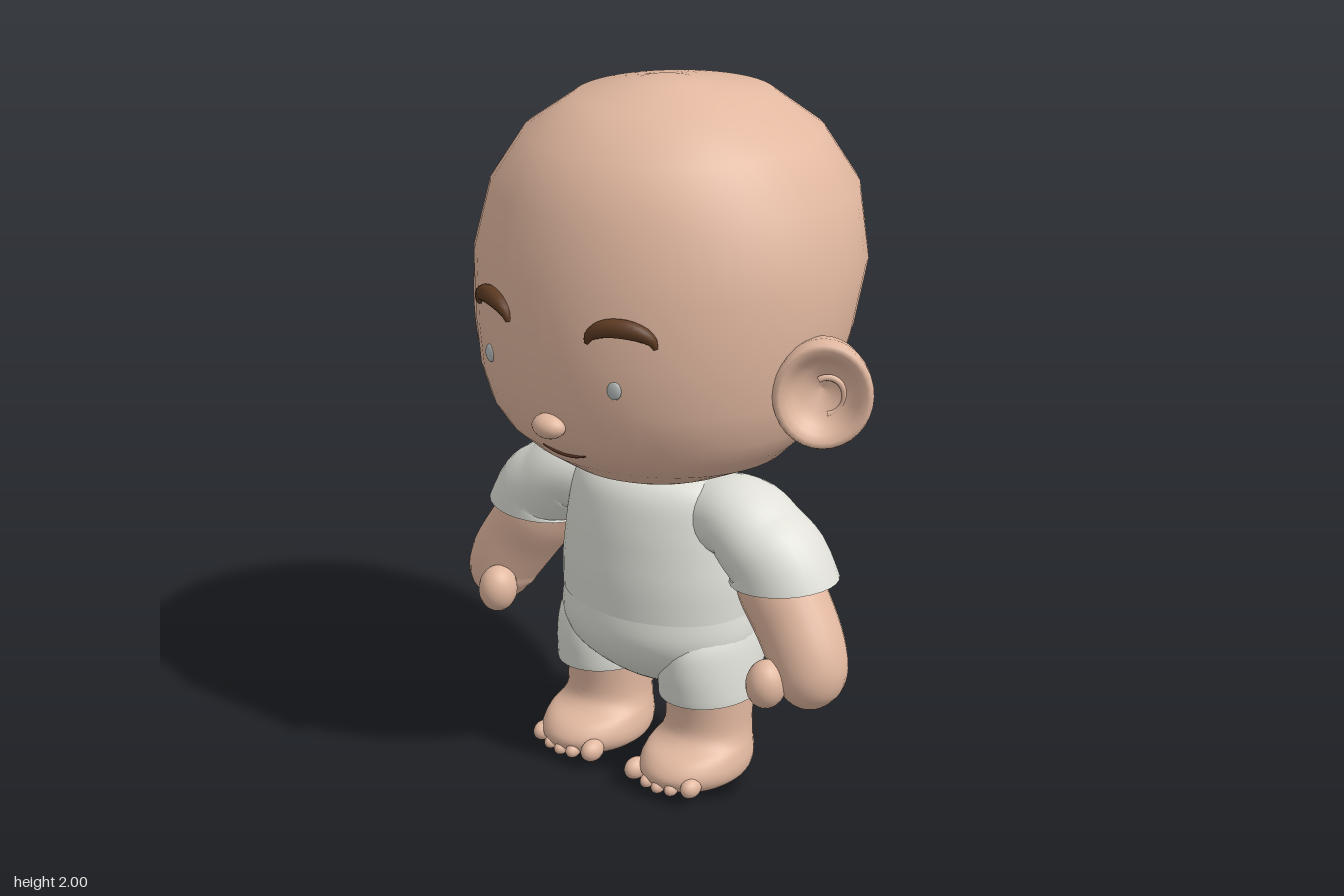
import * as THREE from 'three';

const material = (name, color) => {
  const m = new THREE.MeshStandardMaterial({ color });
  m.name = name;
  return m;
};

// Catmull-Rom refinement of rows of numbers
function refine(rows, n) {
  const out = [];
  for (let i = 0; i < rows.length - 1; i++) {
    const p = rows[Math.max(i - 1, 0)], a = rows[i], b = rows[i + 1];
    const q = rows[Math.min(i + 2, rows.length - 1)];
    for (let k = 0; k < n; k++) {
      const t = k / n;
      out.push(a.map((v, c) => v + 0.5 * t * (b[c] - p[c] +
        t * (2 * p[c] - 5 * v + 4 * b[c] - q[c] + t * (3 * (v - b[c]) + q[c] - p[c])))));
    }
  }
  out.push(rows[rows.length - 1]);
  return out;
}

// Closed skin over rings that run counter-clockwise about the direction of travel
function skinRings(rings) {
  const n = rings[0].length, pos = rings.flat(2), index = [];
  for (let i = 0; i < rings.length - 1; i++) {
    for (let j = 0; j < n; j++) {
      const a = i * n + j, b = i * n + (j + 1) % n;
      index.push(a, b, a + n, b, b + n, a + n);
    }
  }
  [rings[0], rings[rings.length - 1]].forEach((ring, end) => {
    const base = pos.length / 3;
    pos.push(...ring.flat());
    pos.push(...[0, 1, 2].map(c => ring.reduce((s, p) => s + p[c], 0) / n));
    for (let j = 0; j < n; j++) {
      const a = base + j, b = base + (j + 1) % n;
      index.push(base + n, end ? a : b, end ? b : a);
    }
  });
  const g = new THREE.BufferGeometry();
  g.setAttribute('position', new THREE.Float32BufferAttribute(pos, 3));
  g.setIndex(index);
  g.computeVertexNormals();
  return g;
}

// Upright body: rows of [y, half width, front z, back z], rising
function loft(rows, cx = 0, n = 4, sides = 40) {
  return skinRings(refine(rows, n).map(([y, rx, zf, zb]) =>
    Array.from({ length: sides }, (_, j) => {
      const a = j / sides * Math.PI * 2;
      return [cx + rx * Math.cos(a), y, (zf + zb) / 2 - (zf - zb) / 2 * Math.sin(a)];
    })));
}

// Limb: rows of [x, y, z, radius, optional radius in depth]
function sweep(rows, n = 4, sides = 24, endDirection) {
  const path = refine(rows, n), at = i => new THREE.Vector3(...path[i].slice(0, 3));
  return skinRings(path.map(([, , , r, depth = r], i) => {
    const T = at(Math.min(i + 1, path.length - 1)).sub(at(Math.max(i - 1, 0))).normalize();
    if (endDirection && i > path.length - 1 - n) {
      T.lerp(endDirection, (i - path.length + 1 + n) / n).normalize();
    }
    const N = new THREE.Vector3(0, 0, 1).addScaledVector(T, -T.z).normalize();
    const B = T.clone().cross(N);
    return Array.from({ length: sides }, (_, j) => {
      const a = j / sides * Math.PI * 2;
      return at(i).addScaledVector(N, depth * Math.cos(a)).addScaledVector(B, r * Math.sin(a)).toArray();
    });
  }));
}

const headRows = [
  [0.913, 0.01, 0.045, 0.025], [0.915, 0.13, 0.11, -0.04], [0.933, 0.215, 0.25, -0.14],
  [0.952, 0.265, 0.295, -0.22], [1.01, 0.385, 0.378, -0.295], [1.06, 0.437, 0.432, -0.328],
  [1.12, 0.478, 0.47, -0.375], [1.22, 0.512, 0.5, -0.43], [1.35, 0.532, 0.51, -0.49],
  [1.53, 0.553, 0.503, -0.535], [1.72, 0.508, 0.458, -0.528], [1.86, 0.407, 0.382, -0.447],
  [1.957, 0.267, 0.247, -0.317], [1.999, 0.08, 0.08, -0.08], [2, 0.005, 0.005, -0.005]
];

// Front surface of the head at x, y
function faceZ(x, y) {
  const i = headRows.findIndex(r => r[0] > y), a = headRows[i - 1], b = headRows[i];
  const [, rx, zf, zb] = a.map((v, c) => v + (b[c] - v) * (y - a[0]) / (b[0] - a[0]));
  return (zf + zb) / 2 + (zf - zb) / 2 * Math.sqrt(1 - (x / rx) ** 2);
}

export function createModel() {
  const skin = material('skin', 0xe2b8a0);
  const cloth = material('cloth', 0xe0e0d9);
  const brow = material('brow brown', 0x5c3a22);
  const eye = material('eye grey', 0xb8bebd);
  const lip = material('mouth brown', 0x5a3424);

  const model = new THREE.Group();
  model.name = 'child';
  const add = (name, geometry, mat, parent = model) => {
    const m = new THREE.Mesh(geometry, mat);
    m.name = name;
    parent.add(m);
    return m;
  };
  const blob = (name, mat, [x, y, z], [rx, ry, rz]) => {
    const m = add(name, new THREE.SphereGeometry(1, 20, 14), mat);
    m.position.set(x, y, z);
    m.scale.set(rx, ry, rz);
    return m;
  };

  // Head and face
  add('head', loft(headRows, 0, 1, 48), skin);
  blob('nose', skin, [0, 1.157, 0.493], [0.05, 0.034, 0.04]);
  add('mouth', sweep([-0.075, -0.037, 0, 0.037, 0.075].map((x, i) => {
    const y = 1.057 + 2.2 * x * x;
    return [x, y, faceZ(x, y), [0.002, 0.005, 0.006, 0.005, 0.002][i]];
  }), 3, 8), lip);
  for (const x of [-0.247, 0.205]) {
    blob('eye', eye, [x, 1.295, faceZ(x, 1.295)], [0.021, 0.025, 0.008]).rotation.y = x;
  }

  // Neck, shirt and shorts
  add('neck', loft([[0.86, 0.17, 0.14, -0.07], [0.938, 0.175, 0.145, -0.075]], 0, 1), skin);
  add('shirt', loft([
    [0.525, 0.302, 0.267, -0.198], [0.62, 0.302, 0.267, -0.2], [0.7, 0.293, 0.26, -0.19],
    [0.78, 0.28, 0.25, -0.172], [0.86, 0.265, 0.23, -0.148], [0.905, 0.243, 0.2, -0.122],
    [0.925, 0.2, 0.165, -0.095]
  ]), cloth);
  add('shorts', loft([
    [0.255, 0.06, 0.06, -0.04], [0.28, 0.14, 0.12, -0.09], [0.33, 0.235, 0.19, -0.155],
    [0.39, 0.292, 0.245, -0.195], [0.46, 0.307, 0.27, -0.208], [0.54, 0.298, 0.263, -0.194]
  ]), cloth);

  for (const s of [1, -1]) {
    const side = s > 0 ? 'left' : 'right';
    const flip = rows => rows.map(([x, ...rest]) => [s * x, ...rest]);

    // Eyebrow arc
    add(side + 'Eyebrow', sweep(Array.from({ length: 9 }, (_, i) => {
      const a = Math.PI * i / 8, x = s * (0.222 - 0.085 * Math.cos(a)), y = 1.418 + 0.05 * Math.sin(a);
      return [x, y, faceZ(x, y) + 0.005, 0.006 + 0.02 * Math.sin(a)];
    }), 2, 12), brow);

    // Cupped ear
    const ear = new THREE.Group();
    ear.name = side + 'Ear';
    ear.position.set(s * 0.605, 1.265, 0.1);
    ear.rotation.y = s * Math.atan2(0.6, 0.8);
    ear.scale.y = 1.12;
    model.add(ear);
    const cup = [[0, -0.205], [0.04, -0.203], [0.072, -0.192], [0.098, -0.165], [0.12, -0.105], [0.131, -0.045],
      [0.133, -0.01], [0.127, 0.003], [0.114, 0.004], [0.097, -0.008], [0.082, -0.03], [0.058, -0.058], [0, -0.075]];
    add('earCup', new THREE.LatheGeometry(cup.map(p => new THREE.Vector2(...p)), 32).rotateX(Math.PI / 2), skin, ear);
    const curl = add('earCurl', new THREE.TorusGeometry(0.046, 0.008, 8, 20, Math.PI * 7 / 6), skin, ear);
    curl.position.set(s * 0.012, -0.015, -0.058);
    curl.rotation.z = s > 0 ? -Math.PI / 2 : Math.PI / 3;

    // Sleeve, arm and thumb
    add(side + 'Sleeve', sweep(flip([
      [0.12, 0.82, 0.035, 0.085, 0.1], [0.23, 0.822, 0.035, 0.112, 0.125], [0.31, 0.818, 0.036, 0.117, 0.14],
      [0.37, 0.775, 0.037, 0.124, 0.146], [0.423, 0.732, 0.038, 0.136, 0.146], [0.445, 0.682, 0.038, 0.156, 0.147]
    ]), 4, 28, new THREE.Vector3(s * 0.1, -1, 0)), cloth);
    add(side + 'Arm', sweep(flip([
      [0.35, 0.75, 0.04, 0.085], [0.425, 0.675, 0.047, 0.115], [0.5, 0.575, 0.055, 0.115],
      [0.553, 0.49, 0.07, 0.11], [0.569, 0.43, 0.08, 0.1], [0.572, 0.385, 0.084, 0.072],
      [0.573, 0.36, 0.085, 0.04], [0.573, 0.352, 0.085, 0.008]
    ])), skin);
    blob(side + 'Thumb', skin, [s * 0.495, 0.433, 0.18], [0.055, 0.07, 0.06]);

    // Shorts leg, bare leg and foot
    add(side + 'ShortsLeg', loft([
      [0.275, 0.138, 0.2, -0.13], [0.3, 0.137, 0.204, -0.135], [0.37, 0.131, 0.21, -0.148],
      [0.44, 0.12, 0.2, -0.135], [0.5, 0.1, 0.16, -0.1]
    ], s * 0.19), cloth);
    add(side + 'Leg', loft([
      [0.005, 0.06, 0.16, 0.02], [0.015, 0.1, 0.215, -0.03], [0.04, 0.138, 0.262, -0.082],
      [0.075, 0.147, 0.28, -0.1], [0.115, 0.14, 0.25, -0.097], [0.145, 0.129, 0.185, -0.092],
      [0.19, 0.124, 0.16, -0.092], [0.3, 0.126, 0.17, -0.11]
    ], s * 0.185), skin);

    // Toes
    for (const [x, y, z, r] of [[0.082, 0.058, 0.24, 0.032], [0.14, 0.046, 0.258, 0.021],
      [0.182, 0.043, 0.262, 0.02], [0.225, 0.046, 0.256, 0.02], [0.276, 0.057, 0.232, 0.029]]) {
      blob(side + 'Toe', skin, [s * x, y, z], [r * 0.9, r, r * 1.25]);
    }
  }
  return model;
}
